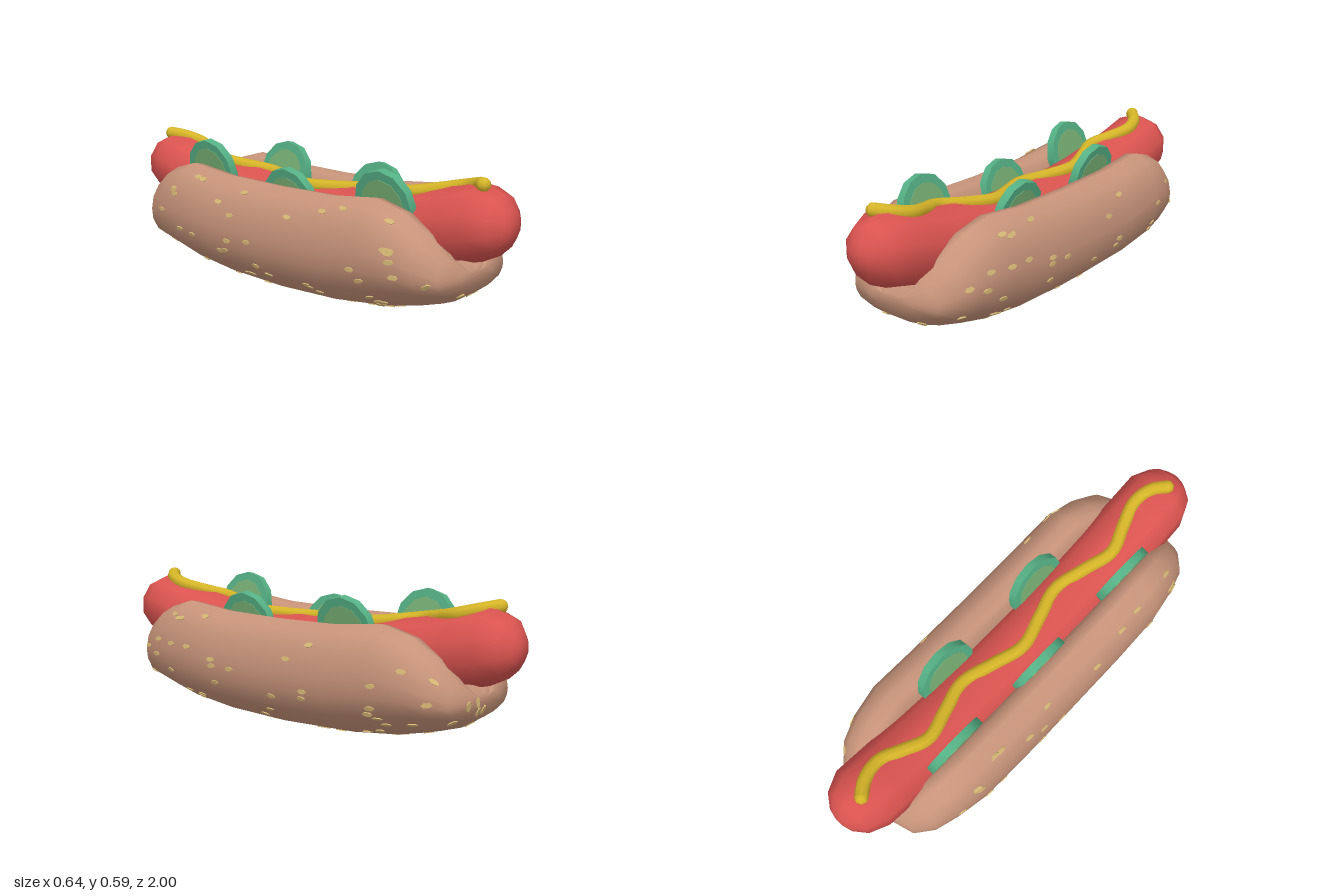
import * as THREE from 'three';

const mat = (name, color) => Object.assign(new THREE.MeshStandardMaterial({ color }), { name });

// Height of the sausage centreline: sags in the middle
const sag = (z) => 0.3 + 0.155 * Math.min(Math.abs(z), 0.88) ** 2;

// Closed solid from rings of [x, y, z], each ring counter-clockwise seen from +z, rings in rising z
function loft(rings) {
  const n = rings[0].length, pos = rings.flat(), idx = [];
  for (let i = 0; i < rings.length - 1; i++) {
    for (let j = 0; j < n; j++) {
      const a = i * n + j, b = i * n + (j + 1) % n;
      idx.push(a, b, b + n, a, b + n, a + n);
    }
  }
  for (const [start, flip] of [[0, true], [(rings.length - 1) * n, false]]) {
    const c = pos.length, ring = pos.slice(start, start + n);
    pos.push([0, 1, 2].map((k) => ring.reduce((s, p) => s + p[k], 0) / n));
    for (let j = 0; j < n; j++) {
      const a = start + j, b = start + (j + 1) % n;
      if (flip) idx.push(c, b, a); else idx.push(c, a, b);
    }
  }
  const g = new THREE.BufferGeometry();
  g.setAttribute('position', new THREE.Float32BufferAttribute(pos.flat(), 3));
  g.setIndex(idx);
  g.computeVertexNormals();
  return g;
}

// Repeat a half list of stations [z, ...] mirrored to negative z
const mirrorZ = (half) => [
  ...half.filter((s) => s[0] > 0).reverse().map(([z, ...r]) => [-z, ...r]), ...half];

// Bun outline, right half, from bottom centre to inner lip (share of half width, share of height)
const bunHalf = [[0, 0], [0.28, 0.025], [0.55, 0.08], [0.88, 0.25], [0.98, 0.42], [1, 0.58],
  [0.96, 0.77], [0.84, 0.94], [0.64, 1], [0.49, 0.98], [0.4, 0.85]];

function bunRings() {
  // z, half width, bottom, top
  const stations = mirrorZ([[0, 0.318, 0, 0.46], [0.3, 0.318, 0.01, 0.465], [0.52, 0.315, 0.035, 0.487],
    [0.65, 0.292, 0.065, 0.45], [0.75, 0.26, 0.095, 0.38], [0.82, 0.2, 0.14, 0.29], [0.845, 0.1, 0.19, 0.24]]);
  return stations.map(([z, w, lo, hi]) => {
    const right = bunHalf.map(([u, v]) => [u * w, lo + v * (hi - lo), z]);
    right.push([0.28 * w, Math.min(hi, sag(z) - 0.09), z]);
    const groove = [0, Math.min(hi, sag(z) - 0.13), z];
    const left = right.slice(1).reverse().map(([x, y]) => [-x, y, z]);
    return [...right, groove, ...left];
  });
}

function sausageRings() {
  const stations = mirrorZ([[0, 0.148], [0.2, 0.148], [0.4, 0.148], [0.6, 0.148], [0.75, 0.148],
    [0.87, 0.147], [0.95, 0.112], [0.99, 0.06], [1, 0.02]]);
  return stations.map(([z, r]) => Array.from({ length: 10 }, (_, j) => {
    const a = -Math.PI / 2 + j * Math.PI / 5;
    return [r * Math.cos(a), sag(z) + r * Math.sin(a), z];
  }));
}

// Seeds scattered over the outer skin of the bun, lying flat on its faces
function makeSeeds(bun, material) {
  const group = new THREE.Group();
  group.name = 'sesameSeeds';
  let state = 7;
  const rand = () => (state = (state * 16807) % 2147483647) / 2147483647;
  const seedGeo = new THREE.CylinderGeometry(0.01, 0.01, 0.006, 6).scale(1, 1, 2.2);
  const p = bun.attributes.position, tri = new THREE.Triangle();
  const normal = new THREE.Vector3(), along = new THREE.Vector3(), side = new THREE.Vector3();
  const faces = bun.index.count / 3;
  while (group.children.length < 115) {
    const f = Math.floor(rand() * faces);
    tri.setFromAttributeAndIndices(p, ...[0, 1, 2].map((k) => bun.index.getX(f * 3 + k)));
    tri.getNormal(normal);
    let u = rand(), v = rand();
    if (u + v > 1) { u = 1 - u; v = 1 - v; }
    const at = tri.a.clone().multiplyScalar(1 - u - v).addScaledVector(tri.b, u).addScaledVector(tri.c, v);
    const outer = Math.abs(at.x) > 0.2 || at.y < 0.15 || (Math.abs(at.z) > 0.76 && at.y < 0.24);
    if (rand() > tri.getArea() / 0.02 || !outer || normal.y > 0.75 || normal.x * at.x < -0.01) continue;
    along.set((rand() - 0.5) * 0.7, 0, 1);
    if (Math.abs(normal.z) > 0.8) along.set(0, 1, 0);
    along.addScaledVector(normal, -along.dot(normal)).normalize();
    side.crossVectors(normal, along);
    const seed = new THREE.Mesh(seedGeo, material);
    seed.name = 'seed';
    seed.quaternion.setFromRotationMatrix(new THREE.Matrix4().makeBasis(side, normal, along));
    seed.position.copy(at).addScaledVector(normal, 0.001);
    group.add(seed);
  }
  return group;
}

export function createModel() {
  const model = new THREE.Group();
  model.name = 'hotDog';
  const bread = mat('bread', 0xc9957b), meat = mat('sausage red', 0xdb5450);
  const yellow = mat('mustard yellow', 0xd6b528), seedTan = mat('sesame', 0xdcbd78);
  const skin = mat('pickle skin', 0x55b085), flesh = mat('pickle flesh', 0x78b074);
  const add = (parent, geo, material, name) => {
    const m = new THREE.Mesh(geo, material);
    m.name = name;
    parent.add(m);
    return m;
  };

  const bunGeo = loft(bunRings());
  add(model, bunGeo, bread, 'bun');
  model.add(makeSeeds(bunGeo, seedTan));
  add(model, loft(sausageRings()), meat, 'sausage');

  // Wavy mustard line resting on the sausage
  const bends = [[-0.03, -0.885], [0.012, -0.83], [0.034, -0.74], [0, -0.645], [-0.036, -0.54], [0, -0.41],
    [0.034, -0.28], [0, -0.14], [-0.036, 0], [0, 0.14], [0.034, 0.27], [0, 0.41], [-0.036, 0.54],
    [0, 0.645], [0.034, 0.76], [0.012, 0.84], [-0.03, 0.885]];
  const path = bends.map(([x, z]) => new THREE.Vector3(x, sag(z) + 0.141, z));
  const mustard = new THREE.Group();
  mustard.name = 'mustard';
  model.add(mustard);
  add(mustard, new THREE.TubeGeometry(new THREE.CatmullRomCurve3(path), 72, 0.028, 8), yellow, 'mustardLine');
  for (const end of [path[0], path[path.length - 1]]) {
    add(mustard, new THREE.SphereGeometry(0.028, 8, 6), yellow, 'mustardEnd').position.copy(end);
  }

  // Pickle slices leaning outward between sausage and bun: side, y, z
  const rim = new THREE.CylinderGeometry(0.14, 0.14, 0.034, 12).rotateZ(Math.PI / 2);
  const core = new THREE.CylinderGeometry(0.105, 0.105, 0.038, 12).rotateZ(Math.PI / 2);
  for (const [s, y, z] of [[-1, 0.449, -0.485], [-1, 0.388, 0], [-1, 0.445, 0.505], [1, 0.43, -0.285], [1, 0.405, 0.245]]) {
    const slice = new THREE.Group();
    slice.name = 'pickleSlice';
    add(slice, rim, skin, 'pickleRim');
    add(slice, core, flesh, 'pickleCore');
    slice.position.set(s * 0.122, y, z);
    slice.rotation.z = -s * 0.2;
    model.add(slice);
  }
  return model;
}
